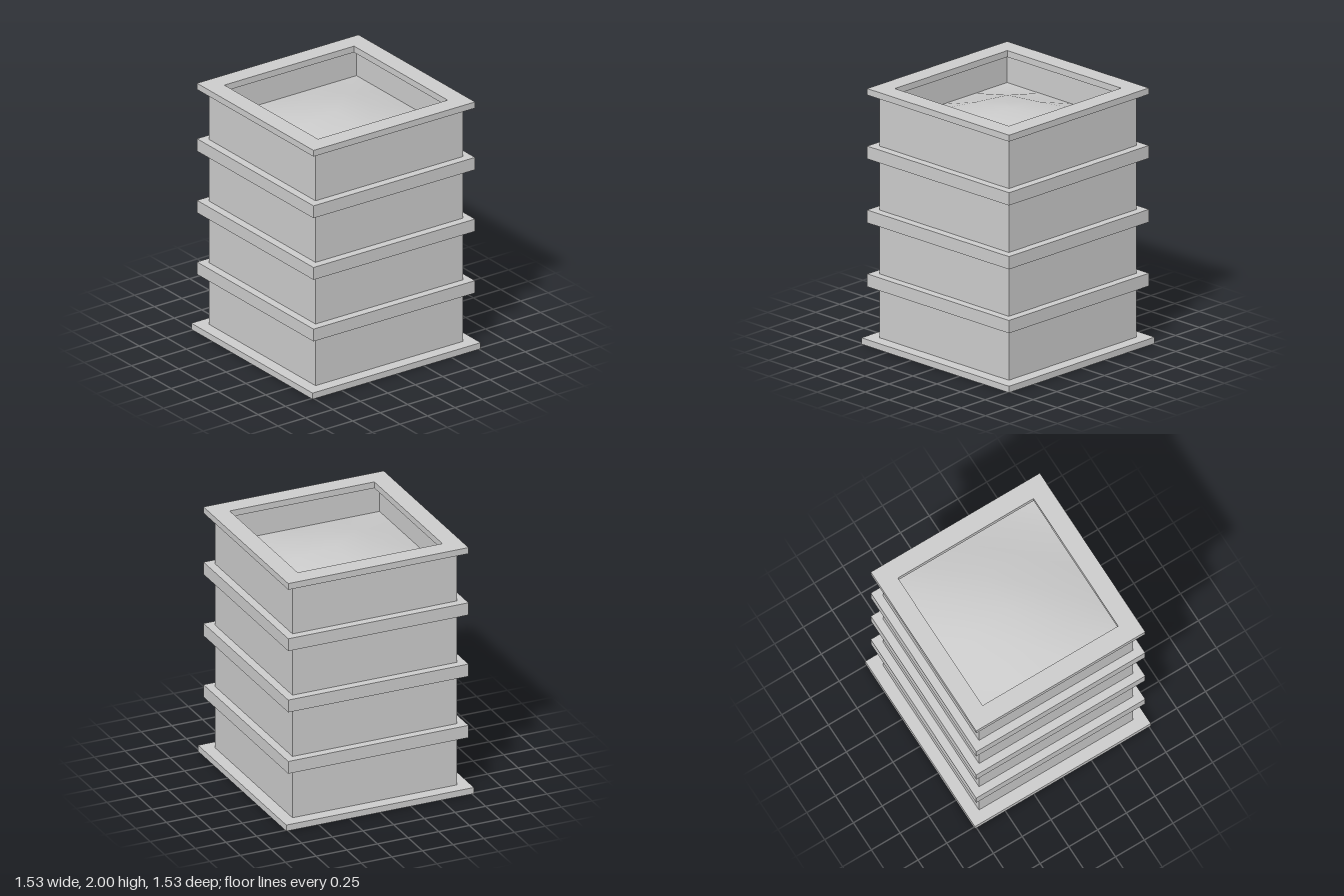
import * as THREE from 'three';

const WALL = 0.67;   // half width of the body
const BAND = 0.735;  // half width of the bands and rim
const material = new THREE.MeshStandardMaterial({ color: 0xcccccc });
const thin = new THREE.MeshStandardMaterial({ color: 0xcccccc, side: THREE.DoubleSide });

function addMesh(parent, name, geometry, mat = material) {
  const mesh = new THREE.Mesh(geometry, mat);
  mesh.name = name;
  parent.add(mesh);
  return mesh;
}

// Square outline with a given half width
function square(path, r) {
  path.moveTo(-r, -r);
  path.lineTo(r, -r);
  path.lineTo(r, r);
  path.lineTo(-r, r);
  path.closePath();
  return path;
}

// Flat square ring standing on y = 0
function frame(outer, inner, height) {
  const shape = square(new THREE.Shape(), outer);
  shape.holes.push(square(new THREE.Path(), inner));
  const geometry = new THREE.ExtrudeGeometry(shape, { depth: height, bevelEnabled: false });
  return geometry.rotateX(-Math.PI / 2);
}

export function createModel() {
  const model = new THREE.Group();
  model.name = 'planterBox';

  // Base plate
  addMesh(model, 'basePlate', new THREE.BoxGeometry(1.53, 0.05, 1.53)).position.y = 0.025;

  // Four thin walls
  const walls = new THREE.Group();
  walls.name = 'walls';
  model.add(walls);
  for (let i = 0; i < 4; i++) {
    const panel = new THREE.PlaneGeometry(WALL * 2, 1.92).translate(0, 1.01, WALL);
    addMesh(walls, 'wallPanel', panel.rotateY(i * Math.PI / 2), thin);
  }

  // Bands around the body
  for (const y of [0.5, 1, 1.5]) {
    addMesh(model, 'band', frame(BAND, WALL, 0.1)).position.y = y - 0.05;
  }

  // Top rim, overhanging inwards and outwards
  addMesh(model, 'topRim', frame(BAND, 0.59, 0.05)).position.y = 1.95;

  // Softly mounded filling, level along the walls
  const fill = new THREE.PlaneGeometry(WALL * 2, WALL * 2, 4, 4).rotateX(-Math.PI / 2);
  const p = fill.attributes.position;
  const bump = (v) => Math.cos((v / WALL) * Math.PI / 2);
  for (let i = 0; i < p.count; i++) {
    p.setY(i, 1.71 + 0.14 * bump(p.getX(i)) * bump(p.getZ(i)));
  }
  fill.computeVertexNormals();
  addMesh(model, 'filling', fill, thin);

  return model;
}
